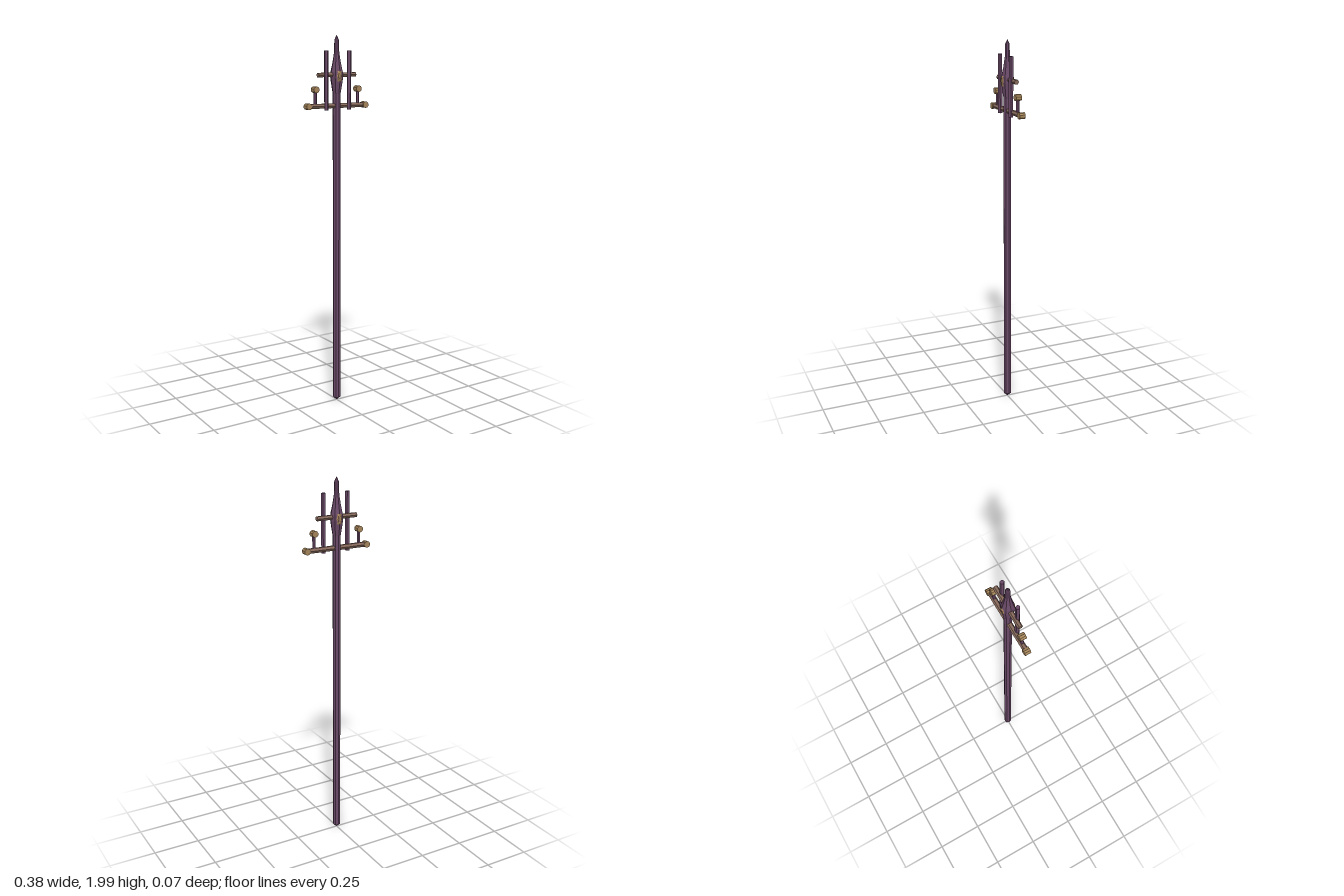
import * as THREE from 'three';

const mat = (name, color) => {
  const m = new THREE.MeshStandardMaterial({ color, flatShading: true });
  m.name = name;
  return m;
};

export function createModel() {
  const group = new THREE.Group();
  const purple = mat('purple wood', 0x6b4a68);
  const brown = mat('brown metal', 0x876a5c);
  const tan = mat('tan brass', 0xa8875c);

  const add = (name, geometry, material, x = 0, y = 0, z = 0) => {
    const mesh = new THREE.Mesh(geometry, material);
    mesh.name = name;
    mesh.position.set(x, y, z);
    group.add(mesh);
    return mesh;
  };
  const lathe = (pts, sides) =>
    new THREE.LatheGeometry(pts.map(([r, y]) => new THREE.Vector2(r, y)), sides);

  // Eight-sided pole with a short pointed foot
  add('pole', lathe([[0, 0.008], [0.021, 0.027], [0.021, 1.7]], 8), purple);

  // Swollen head that narrows to a slim spike
  add('head', lathe([
    [0.021, 1.7], [0.027, 1.735], [0.034, 1.78], [0.033, 1.81],
    [0.022, 1.86], [0.014, 1.91], [0.012, 1.975], [0, 2],
  ], 8), purple);

  // Faceted oval gem on the front and back of the head
  for (const side of [1, -1]) {
    const gem = add(side > 0 ? 'frontGem' : 'backGem',
      new THREE.CylinderGeometry(0.55, 1, 1, 8), tan, 0, 1.79, side * 0.029);
    gem.geometry.rotateX(side * Math.PI / 2);
    gem.scale.set(0.018, 0.042, 0.008);
  }

  // Horizontal crossbars
  const bar = (name, length, radius, y) =>
    add(name, new THREE.CylinderGeometry(radius, radius, length, 6).rotateZ(Math.PI / 2), brown, 0, y, 0);
  bar('upperCrossbar', 0.23, 0.013, 1.797);
  bar('lowerCrossbar', 0.35, 0.014, 1.638);

  for (const side of [1, -1]) {
    const label = side > 0 ? 'left' : 'right';
    // Tall upright rods in front of the crossbars
    add(label + 'Rod', new THREE.CylinderGeometry(0.012, 0.012, 0.305, 5), purple, side * 0.07, 1.768, 0.011);
    // Short posts on the lower crossbar
    add(label + 'Post', new THREE.CylinderGeometry(0.009, 0.009, 0.085, 5), purple, side * 0.131, 1.68, 0);
    // Round brass knobs on the bar ends and the posts
    for (const [part, x, y] of [['EndKnob', 0.175, 1.638], ['PostKnob', 0.131, 1.723]]) {
      add(label + part, new THREE.CylinderGeometry(0.017, 0.017, 0.032, 10).rotateX(Math.PI / 2),
        tan, side * x, y, 0);
    }
  }
  return group;
}
